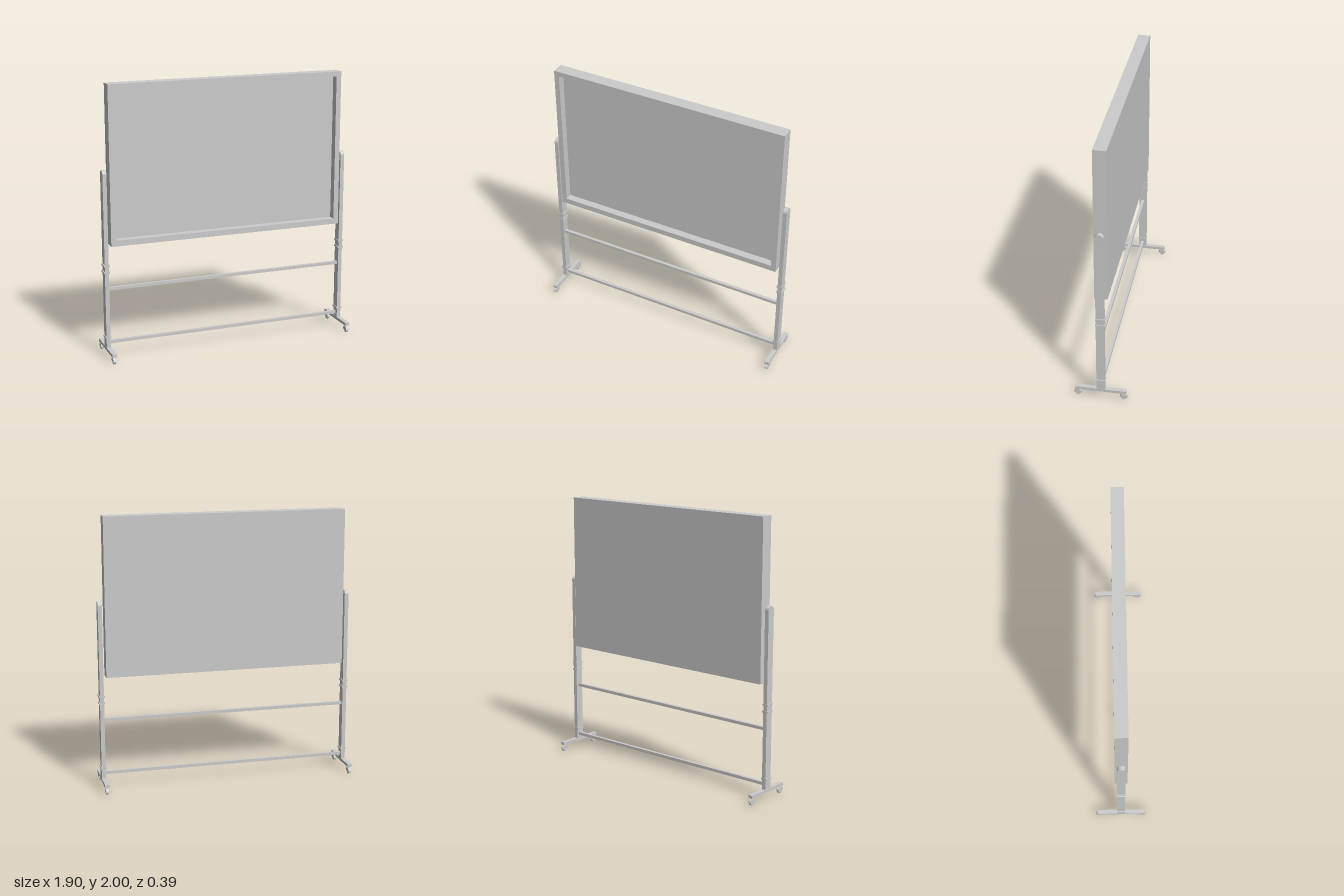
import * as THREE from 'three';

const grey = new THREE.MeshStandardMaterial({ color: 0xcccccc, flatShading: true });

function add(parent, name, geometry, x = 0, y = 0, z = 0) {
  const mesh = new THREE.Mesh(geometry, grey);
  mesh.name = name;
  mesh.position.set(x, y, z);
  parent.add(mesh);
  return mesh;
}

const box = (w, h, d) => new THREE.BoxGeometry(w, h, d);

// Closed rectangle outline, usable as a shape or a hole
function rect(path, x0, y0, x1, y1) {
  path.moveTo(x0, y0);
  path.lineTo(x1, y0);
  path.lineTo(x1, y1);
  path.lineTo(x0, y1);
  path.closePath();
  return path;
}

// Extrude a profile drawn in (z, y) along x, centred on x = 0
function extrudeAcross(shape, width) {
  const g = new THREE.ExtrudeGeometry(shape, { depth: width, bevelEnabled: false, curveSegments: 8 });
  return g.translate(0, 0, -width / 2).rotateY(-Math.PI / 2);
}

// Frame with a recessed writing panel, flat at the back
function createBoard() {
  const board = new THREE.Group();
  board.name = 'board';
  const outline = rect(new THREE.Shape(), -0.893, 0.838, 0.893, 2);
  outline.holes.push(rect(new THREE.Path(), -0.855, 0.88, 0.855, 1.963));
  const frame = new THREE.ExtrudeGeometry(outline, { depth: 0.092, bevelEnabled: false });
  add(board, 'boardFrame', frame, 0, 0, -0.046);
  add(board, 'writingPanel', box(1.71, 1.083, 0.036), 0, 1.4215, -0.028);
  return board;
}

// Small wheel under a rounded hood
function createCaster() {
  const caster = new THREE.Group();
  caster.name = 'caster';
  const hood = new THREE.Shape();
  hood.moveTo(0.028, 0.02);
  hood.absarc(0, 0.02, 0.028, 0, Math.PI, false);
  hood.closePath();
  add(caster, 'casterHood', extrudeAcross(hood, 0.024));
  const wheel = new THREE.CylinderGeometry(0.02, 0.02, 0.016, 16).rotateZ(Math.PI / 2);
  add(caster, 'casterWheel', wheel, 0, 0.02, 0);
  add(caster, 'casterStem', new THREE.CylinderGeometry(0.007, 0.007, 0.02, 8), 0, 0.05, 0);
  return caster;
}

// Upright post, its foot, collars and two casters
function createStand(x) {
  const stand = new THREE.Group();
  stand.name = x > 0 ? 'leftStand' : 'rightStand';
  stand.position.x = x;

  const post = new THREE.Shape();
  post.moveTo(-0.03, 0.06);
  post.lineTo(0.03, 0.06);
  post.lineTo(0.03, 1.36);
  post.absarc(0, 1.36, 0.03, 0, Math.PI, false);
  post.closePath();
  add(stand, 'post', extrudeAcross(post, 0.03));

  add(stand, 'foot', box(0.032, 0.022, 0.366), 0, 0.066, 0);
  for (const y of [0.155, 0.645, 0.695]) {
    add(stand, 'collar', box(0.044, 0.012, 0.066), 0, y, 0);
  }
  for (const z of [-0.165, 0.165]) {
    const caster = createCaster();
    caster.position.z = z;
    stand.add(caster);
  }
  return stand;
}

export function createModel() {
  const model = new THREE.Group();
  model.name = 'mobileBoard';
  model.add(createBoard());
  for (const side of [-1, 1]) model.add(createStand(side * 0.926));

  // Rails joining the two posts
  add(model, 'lowerRail', box(1.83, 0.022, 0.024), 0, 0.112, 0);
  add(model, 'upperRail', box(1.83, 0.022, 0.024), 0, 0.515, 0);
  return model;
}
